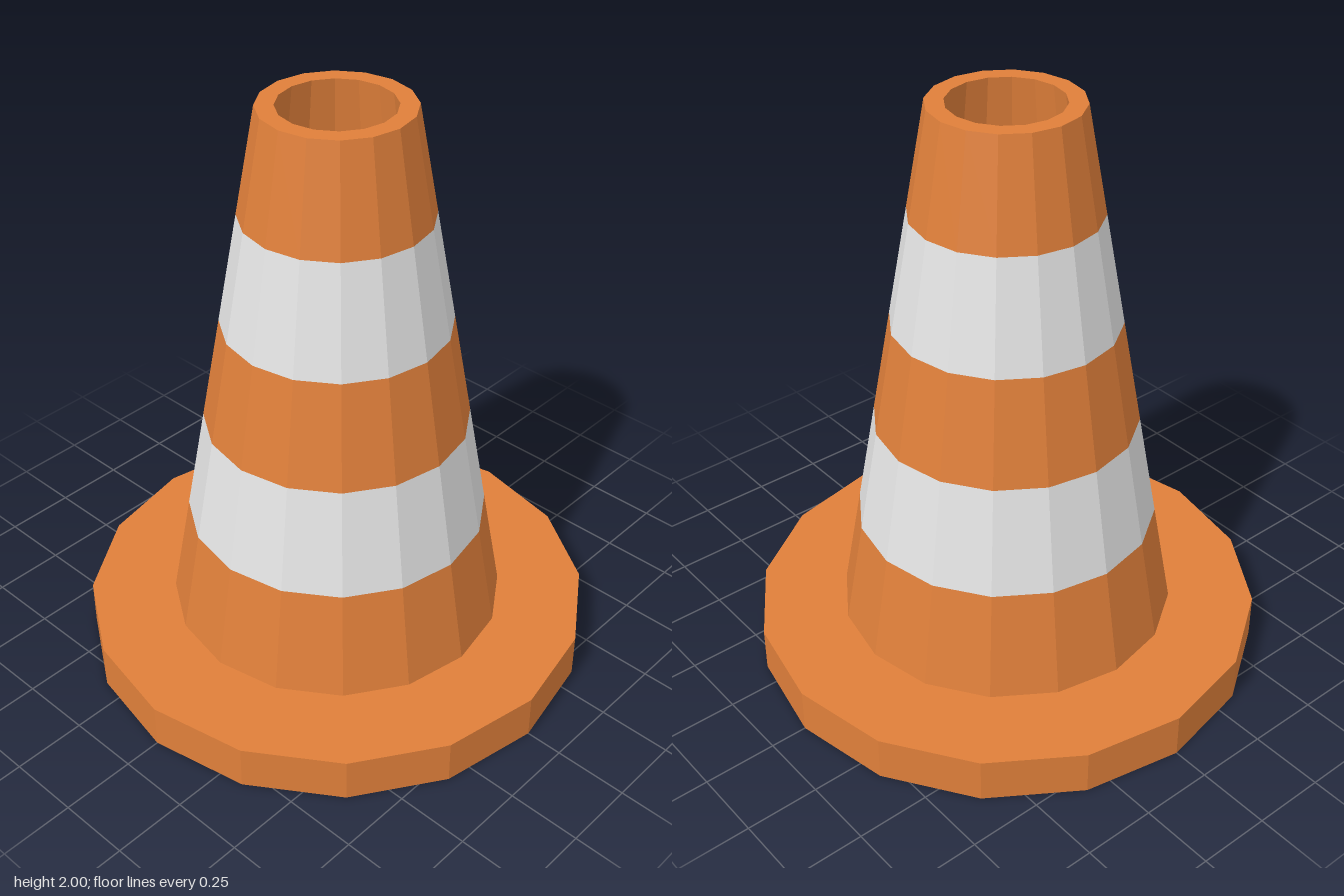
import * as THREE from 'three';

const SIDES = 16;

export function createModel() {
  const orange = new THREE.MeshStandardMaterial({ color: 0xdf7f3a, flatShading: true });
  orange.name = 'orange plastic';
  const white = new THREE.MeshStandardMaterial({ color: 0xe4e4e4, flatShading: true });
  white.name = 'white stripe';

  const group = new THREE.Group();
  group.name = 'trafficCone';

  // Revolve a profile of [radius, height] points into a faceted ring
  const ring = (name, profile, material) => {
    const points = profile.map(([r, y]) => new THREE.Vector2(r, y));
    const mesh = new THREE.Mesh(new THREE.LatheGeometry(points, SIDES), material);
    mesh.name = name;
    group.add(mesh);
  };

  const baseTop = 0.155, top = 2;
  const bottomRadius = 0.577, topRadius = 0.247;
  const holeBottom = 0.43, holeTop = 0.187;
  const radiusAt = (y) =>
    THREE.MathUtils.mapLinear(y, baseTop, top, bottomRadius, topRadius);

  // Flat base: underside, rim and upper face
  ring('base', [[holeBottom, 0], [0.873, 0], [0.873, baseTop], [bottomRadius, baseTop]], orange);

  // Tapered body in alternating orange and white bands
  const levels = [baseTop, 0.525, 0.895, 1.26, 1.64, top];
  for (let i = 0; i < levels.length - 1; i++) {
    const [low, high] = [levels[i], levels[i + 1]];
    const striped = i % 2 === 1;
    ring(striped ? 'whiteBand' : 'orangeBand',
      [[radiusAt(low), low], [radiusAt(high), high]], striped ? white : orange);
  }

  // Top lip and the hollow running down through the base
  ring('topLip', [[topRadius, top], [holeTop, top]], orange);
  ring('innerWall', [[holeTop, top], [holeBottom, 0]], orange);

  return group;
}
